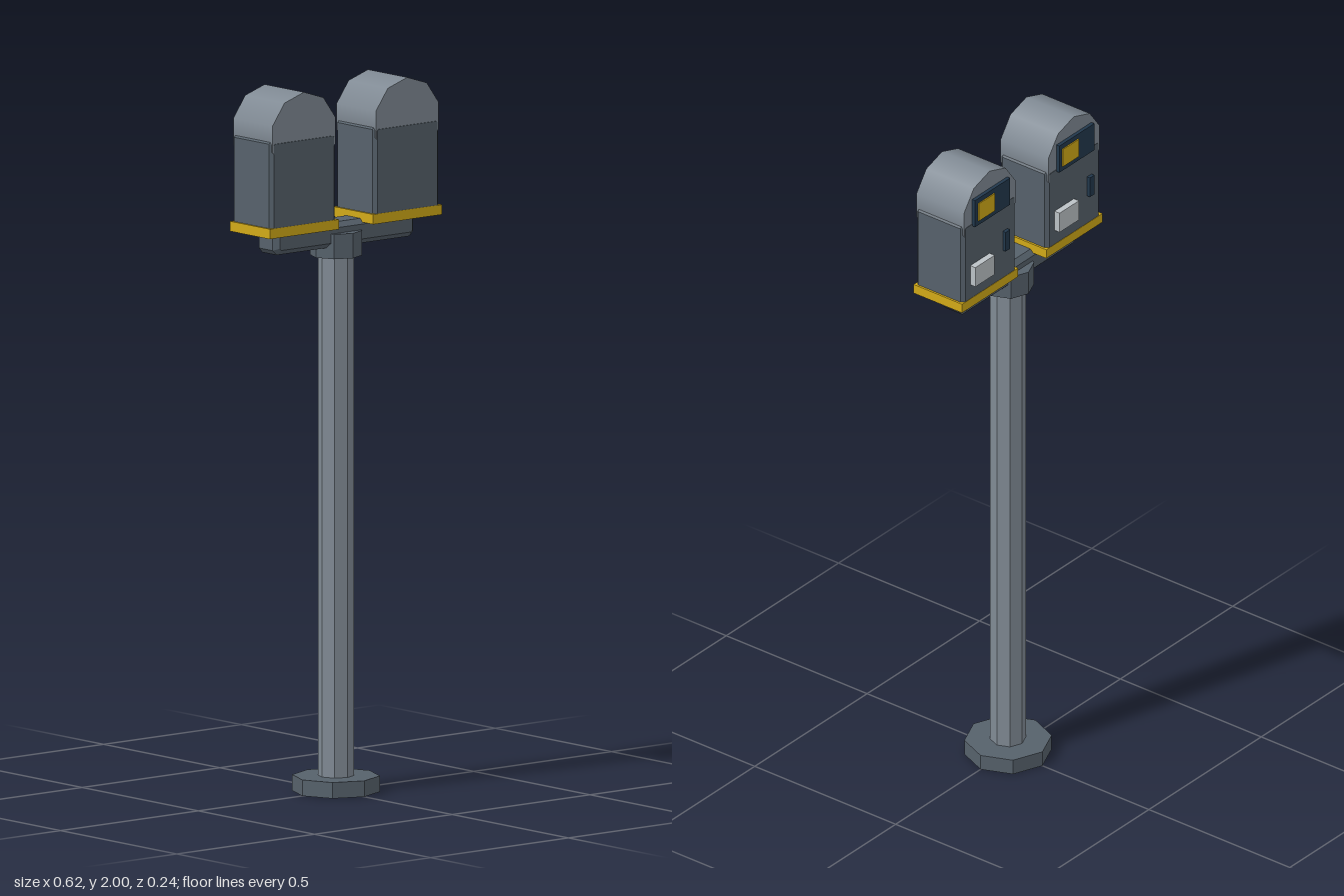
import * as THREE from 'three';

const mat = (name, color) => {
  const m = new THREE.MeshStandardMaterial({ color });
  m.name = name;
  return m;
};

export function createModel() {
  const darkSteel = mat('darkSteel', 0x56616b);
  const lightSteel = mat('lightSteel', 0x808a94);
  const yellow = mat('yellow', 0xd2aa18);
  const navy = mat('navy', 0x22384c);
  const paleGrey = mat('paleGrey', 0xbcc2c6);

  const add = (parent, name, geometry, material, x = 0, y = 0, z = 0) => {
    const mesh = new THREE.Mesh(geometry, material);
    mesh.name = name;
    mesh.position.set(x, y, z);
    parent.add(mesh);
    return mesh;
  };

  // Faceted eight-sided prism
  const prism = (r, h) => {
    const g = new THREE.CylinderGeometry(r, r, h, 8).toNonIndexed();
    g.computeVertexNormals();
    return g;
  };

  // Box with every edge cut by a bevel of size c
  const chamferBox = (w, h, d, c) => {
    const a = w / 2 - c, b = h / 2 - c, k = c * 0.4;
    const shape = new THREE.Shape([
      [-a + k, -b], [a - k, -b], [a, -b + k], [a, b - k],
      [a - k, b], [-a + k, b], [-a, b - k], [-a, -b + k],
    ].map(([x, y]) => new THREE.Vector2(x, y)));
    const g = new THREE.ExtrudeGeometry(shape, {
      depth: d - 2 * c, bevelEnabled: true, bevelThickness: c, bevelSize: c, bevelSegments: 1,
    });
    return g.translate(0, 0, -d / 2 + c);
  };

  const root = new THREE.Group();
  root.name = 'twinParkingMeter';

  // Post and crossbar
  add(root, 'base', prism(0.122, 0.045), darkSteel, 0, 0.0225, 0);
  add(root, 'pole', prism(0.05, 1.5), lightSteel, 0, 0.795, 0);
  add(root, 'collar', prism(0.073, 0.07), darkSteel, 0, 1.545, 0);
  add(root, 'crossbar', chamferBox(0.51, 0.07, 0.088, 0.014), darkSteel, 0, 1.575, 0);

  // Two identical meter heads; controls are on the back
  [-1, 1].forEach((side) => {
    const meter = new THREE.Group();
    meter.name = side > 0 ? 'leftMeter' : 'rightMeter';
    meter.position.x = side * 0.1875;
    root.add(meter);

    add(meter, 'trimPlate', new THREE.BoxGeometry(0.25, 0.028, 0.172), yellow, 0, 1.614, 0);
    add(meter, 'housing', chamferBox(0.238, 0.265, 0.17, 0.01), darkSteel, 0, 1.7425, 0);

    const dome = new THREE.CylinderGeometry(0.12, 0.12, 0.169, 10).rotateX(-Math.PI / 2);
    add(meter, 'dome', dome, lightSteel, 0, 1.88, 0);

    add(meter, 'displayPanel', new THREE.BoxGeometry(0.156, 0.086, 0.014), navy, 0, 1.902, -0.088);
    add(meter, 'screen', new THREE.BoxGeometry(0.072, 0.056, 0.006), yellow, 0.03, 1.902, -0.0955);
    add(meter, 'coinSlot', new THREE.BoxGeometry(0.02, 0.062, 0.014), navy, -0.068, 1.747, -0.088);
    add(meter, 'ticketTray', new THREE.BoxGeometry(0.086, 0.062, 0.022), paleGrey, 0.044, 1.704, -0.092);
  });

  return root;
}
